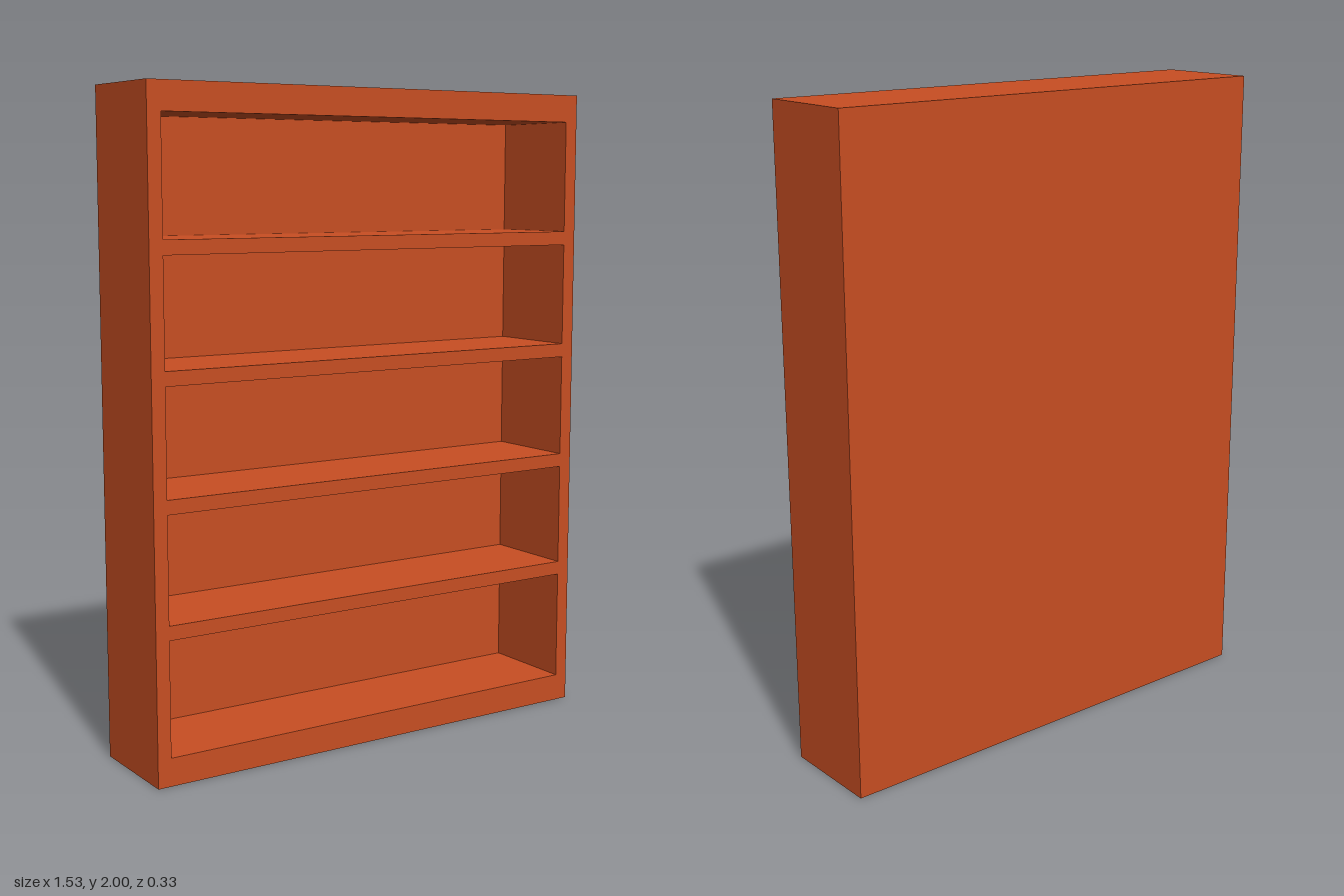
import * as THREE from 'three';

export function createModel() {
  const group = new THREE.Group();
  group.name = 'bookcase';
  const wood = new THREE.MeshStandardMaterial({ color: 0xc84e22 });

  const W = 1.53, H = 2, D = 0.326;      // overall size
  const board = 0.043;                   // side and shelf thickness
  const rail = 0.085;                    // top and bottom thickness
  const back = 0.018;                    // back panel thickness
  const innerW = W - 2 * board;
  const innerD = D - back;

  const addBoard = (name, w, h, d, x, y, z) => {
    const mesh = new THREE.Mesh(new THREE.BoxGeometry(w, h, d), wood);
    mesh.name = name;
    mesh.position.set(x, y, z);
    group.add(mesh);
  };

  // Sides run the full height
  for (const [name, s] of [['leftSide', 1], ['rightSide', -1]])
    addBoard(name, board, H, D, s * (W - board) / 2, H / 2, 0);

  // Thick top and base between the sides
  addBoard('base', innerW, rail, D, 0, rail / 2, 0);
  addBoard('top', innerW, rail, D, 0, H - rail / 2, 0);

  // Thin back panel closing the case
  addBoard('backPanel', innerW, H - 2 * rail, back, 0, H / 2, -(D - back) / 2);

  // Four shelves, evenly pitched about the middle
  for (let i = 0; i < 4; i++)
    addBoard('shelf' + (i + 1), innerW, board, innerD, 0, H / 2 + (i - 1.5) * 0.364, back / 2);

  return group;
}
